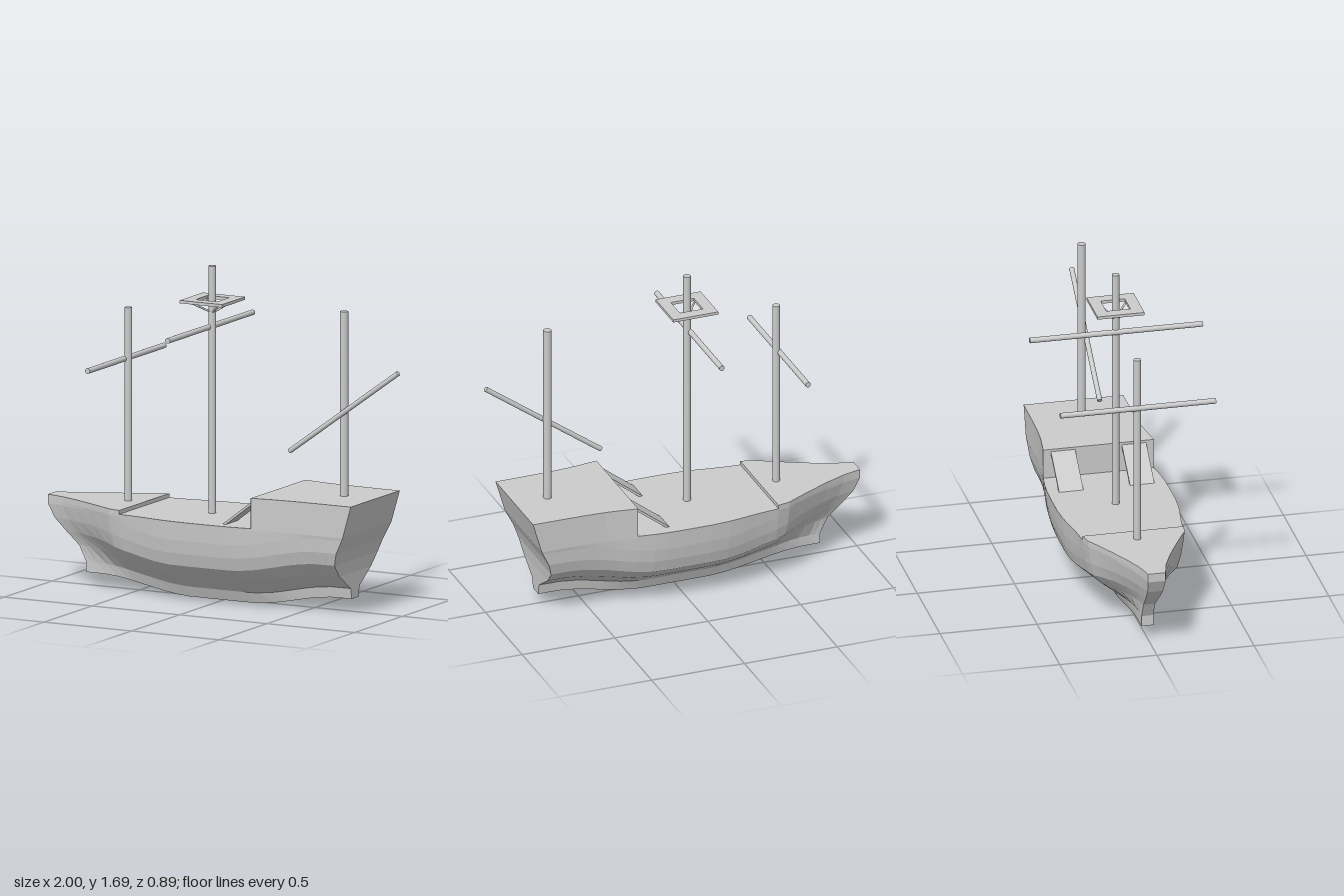
import * as THREE from 'three';

const material = new THREE.MeshStandardMaterial({ color: 0xcccccc, flatShading: true, side: THREE.DoubleSide });
const smooth = new THREE.MeshStandardMaterial({ color: 0xcccccc });

function add(parent, name, geometry, mat = material) {
  const mesh = new THREE.Mesh(geometry, mat);
  mesh.name = name;
  parent.add(mesh);
  return mesh;
}

// Round spar between two points
function spar(parent, name, from, to, radius) {
  const a = new THREE.Vector3(...from), b = new THREE.Vector3(...to);
  const dir = b.clone().sub(a);
  const mesh = add(parent, name, new THREE.CylinderGeometry(radius, radius, dir.length(), 16), smooth);
  mesh.position.copy(a).add(b).multiplyScalar(0.5);
  mesh.quaternion.setFromUnitVectors(new THREE.Vector3(0, 1, 0), dir.normalize());
  return mesh;
}

// Hull rails from keel to deck edge: height, half widths and end positions
const rails = [
  // y, midWidth, bowWidth, sternWidth, bowX, sternX
  [0.005, 0.036, 0.030, 0.036, -0.79, 0.73],
  [0.06, 0.060, 0.030, 0.045, -0.79, 0.73],
  [0.14, 0.185, 0.030, 0.165, -0.83, 0.73],
  [0.205, 0.265, 0.035, 0.225, -0.90, 0.735],
  [0.27, 0.285, 0.040, 0.245, -0.965, 0.755],
  [0.34, 0.297, 0.045, 0.252, -1.0, 0.79],
  [0.425, 0.304, 0.045, 0.255, -1.0, 0.797],
  [0.435, 0.305, 0.045, 0.256, -1.0, 0.845],
];
// Stations: x, fullness (0 = end width, 1 = midship width), deck height
const FORE = 0.455, MAIN = 0.435, AFT = 0.59;
const stations = [
  [-1, 0, FORE], [-0.95, 0.045, FORE], [-0.9, 0.1, FORE], [-0.8, 0.26, FORE], [-0.7, 0.45, FORE],
  [-0.6, 0.65, FORE], [-0.54, 0.78, FORE], [-0.475, 0.835, FORE], [-0.475, 0.835, MAIN],
  [-0.42, 0.85, MAIN], [-0.35, 0.885, MAIN], [-0.28, 0.93, MAIN], [-0.2, 0.975, MAIN], [-0.1, 1, MAIN],
  [0.05, 1, MAIN], [0.13, 0.95, MAIN], [0.2, 0.84, MAIN], [0.29, 0.6, MAIN],
  [0.29, 0.6, AFT], [0.34, 0.45, AFT], [0.4, 0.28, AFT], [0.46, 0.16, AFT], [0.53, 0.08, AFT],
  [0.6, 0.04, AFT], [0.7, 0.02, AFT], [0.845, 0, AFT],
];

function railPoint([sx, full, deckY], k) {
  const [y, mid, bow, stern, bowX, sternX] = rails[k];
  let x = sx;
  if (sx < -0.475) x = -0.475 + (sx + 0.475) * (bowX + 0.475) / -0.525;
  if (sx > 0.29) x = 0.29 + (sx - 0.29) * (sternX - 0.29) / 0.555;
  const end = sx < 0 ? bow : stern;
  const lift = 0.07 * (1 - THREE.MathUtils.smoothstep(x, -0.7, -0.18) + THREE.MathUtils.smoothstep(x, 0.16, 0.65));
  const py = k === 7 ? deckY : k === 6 ? y : y + lift;
  return [x, py, end + (mid - end) * full];
}

function hullGeometry() {
  const n = rails.length, pos = [];
  const quad = (a, b, c, d) => pos.push(...a, ...b, ...c, ...a, ...c, ...d);
  const flip = ([x, y, z]) => [x, y, -z];
  const rings = stations.map((s) => {
    const side = rails.map((_, k) => railPoint(s, k));
    return [...side.slice().reverse(), ...side.map(flip)];
  });
  // Planking, keel bottom, decks and bulkheads
  for (let i = 0; i < rings.length - 1; i++)
    for (let k = 0; k < 2 * n; k++) {
      const m = (k + 1) % (2 * n);
      quad(rings[i][k], rings[i][m], rings[i + 1][m], rings[i + 1][k]);
    }
  // Stem and transom
  const bow = rings[0], stern = rings[rings.length - 1];
  for (let k = 0; k < n - 1; k++) {
    const o = 2 * n - 1 - k;
    quad(stern[k], stern[k + 1], stern[o - 1], stern[o]);
    quad(bow[o], bow[o - 1], bow[k + 1], bow[k]);
  }
  const g = new THREE.BufferGeometry();
  g.setAttribute('position', new THREE.Float32BufferAttribute(pos, 3));
  g.computeVertexNormals();
  return g;
}

export function createModel() {
  const ship = new THREE.Group();
  ship.name = 'sailingShip';
  add(ship, 'hull', hullGeometry());

  // Masts
  spar(ship, 'foreMast', [-0.565, 0.43, 0], [-0.565, 1.44, 0], 0.019);
  spar(ship, 'mainMast', [-0.085, 0.42, 0], [-0.085, 1.695, 0], 0.019);
  spar(ship, 'mizzenMast', [0.667, 0.57, 0], [0.667, 1.53, 0], 0.021);

  // Yards
  spar(ship, 'foreYard', [-0.58, 1.178, -0.4], [-0.58, 1.178, 0.4], 0.014);
  spar(ship, 'mainYard', [-0.098, 1.383, -0.445], [-0.098, 1.383, 0.445], 0.014);
  spar(ship, 'lateenYard', [0.37, 0.795, 0.025], [0.99, 1.247, 0.025], 0.013);

  // Lookout platform: square frame on four corner braces
  const lookout = new THREE.Group();
  lookout.name = 'lookout';
  lookout.position.set(-0.085, 1.512, 0);
  ship.add(lookout);
  const square = (P, r) => new P([[-r, -r], [r, -r], [r, r], [-r, r]].map(([x, y]) => new THREE.Vector2(x, y)));
  const frame = square(THREE.Shape, 0.121);
  frame.holes.push(square(THREE.Path, 0.062));
  const frameGeometry = new THREE.ExtrudeGeometry(frame, { depth: 0.015, bevelEnabled: false });
  frameGeometry.rotateX(-Math.PI / 2);
  add(lookout, 'lookoutFrame', frameGeometry);
  for (const sx of [-1, 1])
    for (const sz of [-1, 1])
      spar(lookout, 'lookoutBrace', [sx * 0.01, -0.05, sz * 0.01], [sx * 0.085, 0.003, sz * 0.085], 0.005);

  // Stair ramps up to the aft deck
  const ramp = new THREE.Shape();
  ramp.moveTo(0.105, 0.434);
  ramp.lineTo(0.29, 0.577);
  ramp.lineTo(0.29, 0.562);
  ramp.lineTo(0.125, 0.434);
  ramp.closePath();
  for (const z of [-0.245, 0.12]) {
    const g = new THREE.ExtrudeGeometry(ramp, { depth: 0.125, bevelEnabled: false });
    add(ship, 'stairRamp', g).position.z = z;
  }
  return ship;
}
